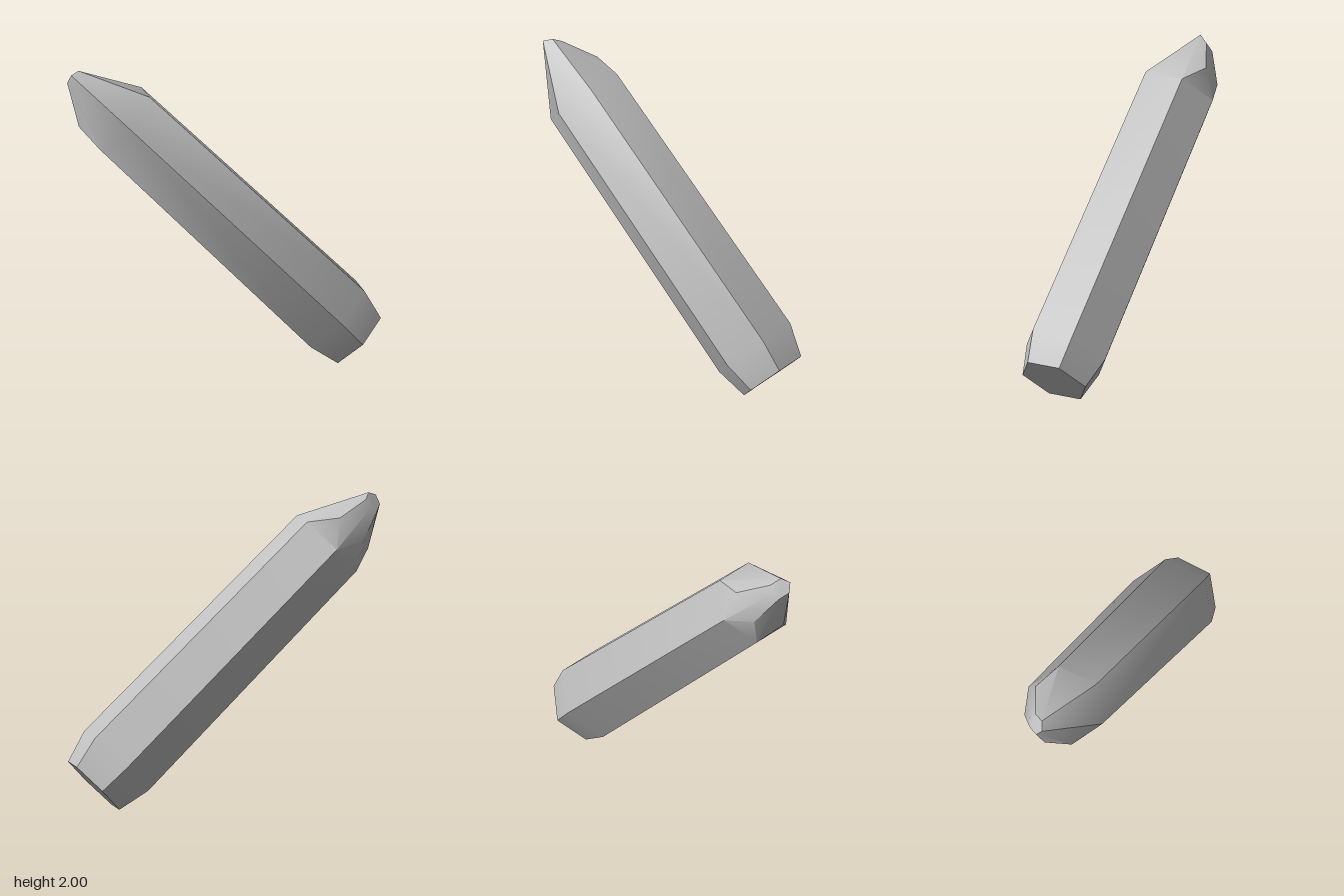
import * as THREE from 'three';
import { ConvexGeometry } from 'three/addons/geometries/ConvexGeometry.js';
import { toCreasedNormals } from 'three/addons/utils/BufferGeometryUtils.js';

const V = (x, y, z) => new THREE.Vector3(x, y, z);

// Hexagon around a centre, given the offsets of two neighbouring corners
function hexRing(centre, p, q) {
  const half = [p, q, q.clone().sub(p)];
  return [1, -1].flatMap((s) => half.map((h) => centre.clone().addScaledVector(h, s)));
}

export function createModel() {
  const group = new THREE.Group();
  group.name = 'hexagonalStick';
  const grey = new THREE.MeshStandardMaterial({ color: 0xc0c0c0 });
  grey.name = 'light grey';

  // Slanted axis and the unit directions of two neighbouring corners
  const axis = V(-0.617, 0.703, 0.354).normalize();
  const p = V(0.776, 0.622, 0.106);
  const q = V(0.52, 0.02, 0.855);
  const ring = (c, r) => hexRing(c, p.clone().multiplyScalar(r), q.clone().multiplyScalar(r));

  // Flat butt, chamfer and shoulder of the shaft
  const shoulder = V(-0.6, 1.675, 0.375);
  const corners = ring(shoulder, 0.27);
  const points = [
    ...ring(V(0.728, 0.148, -0.4), 0.233),
    ...ring(V(0.6, 0.304, -0.328), 0.29),
    ...corners,
  ];

  // Fuller flats on the blunt side of the point
  for (const i of [2, 3, 4]) {
    const mid = corners[i].clone().add(corners[i + 1]).multiplyScalar(0.5).sub(shoulder);
    points.push(shoulder.clone().addScaledVector(axis, 0.165).add(mid.setLength(0.222)));
  }

  // Small tilted facet at the tip
  points.push(...hexRing(V(-0.879, 1.943, 0.478), V(0.034, 0.057, 0.017), V(0.004, 0.037, 0.072)));

  const stick = new THREE.Mesh(toCreasedNormals(new ConvexGeometry(points), 0.62), grey);
  stick.name = 'pointedShaft';
  group.add(stick);
  return group;
}
